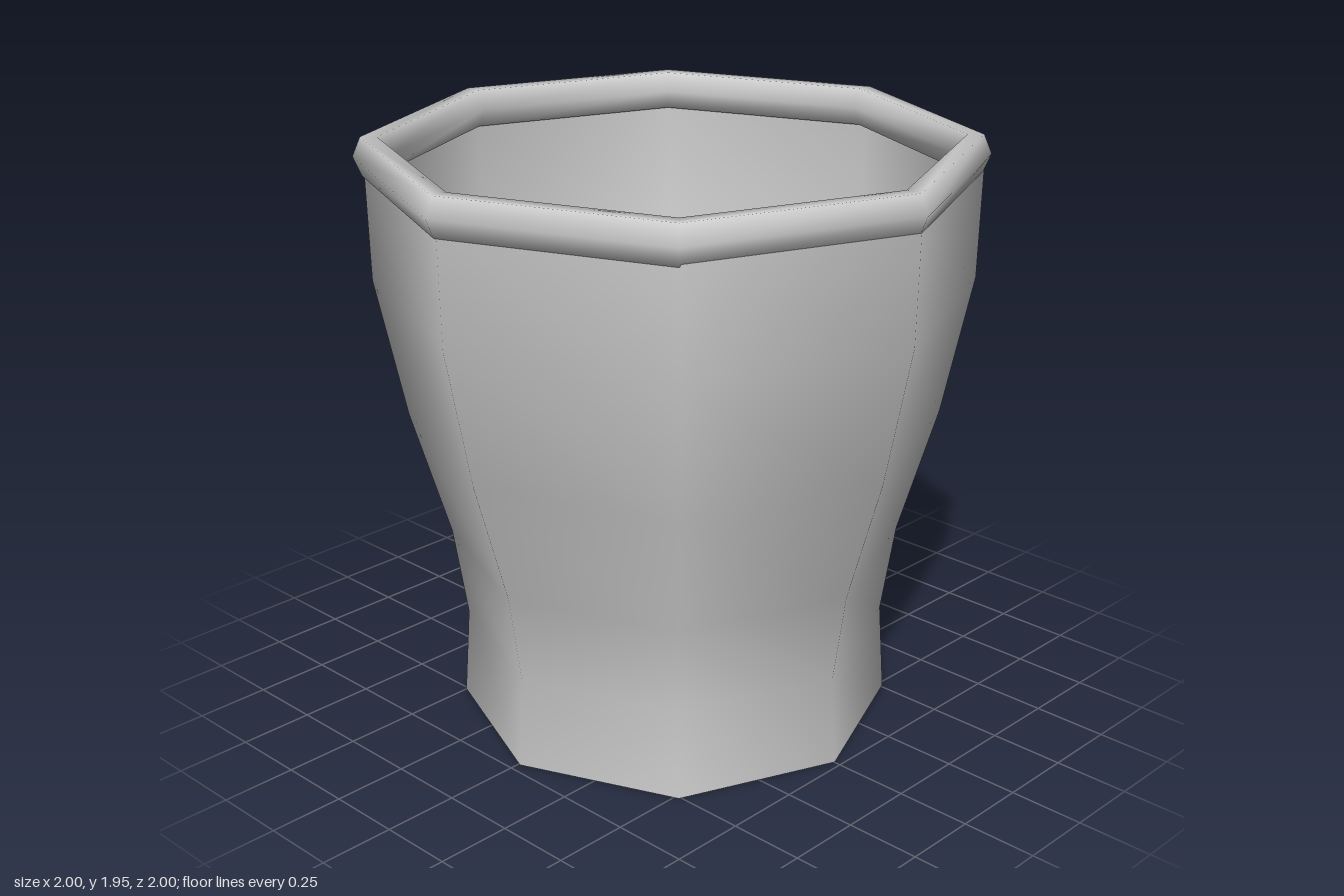
import * as THREE from 'three';

const SIDES = 8;
const WALL = 0.03;

// Outer profile of the wall: [radius, height], bottom to top
const PROFILE = [[0.72, 0], [0.7, 0.3], [0.745, 0.6], [0.87, 1.02], [0.965, 1.48], [0.972, 1.83]];

export function createModel() {
  const group = new THREE.Group();
  group.name = 'cup';
  const material = new THREE.MeshStandardMaterial({ color: 0xcccccc });

  const add = (name, geometry, parent) => {
    const mesh = new THREE.Mesh(geometry, material);
    mesh.name = name;
    parent.add(mesh);
    return mesh;
  };

  const outer = PROFILE.map(([r, y]) => new THREE.Vector2(r, y));
  const inner = PROFILE.map(([r, y]) => new THREE.Vector2(r - WALL, y)).reverse();
  const last = PROFILE.length - 1;

  // Open, waisted wall: separate lathes keep the edges between surfaces sharp
  const body = new THREE.Group();
  body.name = 'body';
  body.position.set(0.007, 0, -0.002);
  group.add(body);
  const surfaces = {
    outerWall: outer,
    topEdge: [outer[last], inner[0]],
    innerWall: inner,
    bottomEdge: [inner[last], outer[0]],
  };
  for (const [name, points] of Object.entries(surfaces)) {
    add(name, new THREE.LatheGeometry(points, SIDES), body);
  }

  // Rolled rim with a tall six-sided section
  const rim = new THREE.TorusGeometry(0.947, 0.053, 6, SIDES);
  rim.scale(1, 1, 1.36);
  rim.rotateX(Math.PI / 2);
  add('rim', rim, group).position.y = 1.883;

  return group;
}
